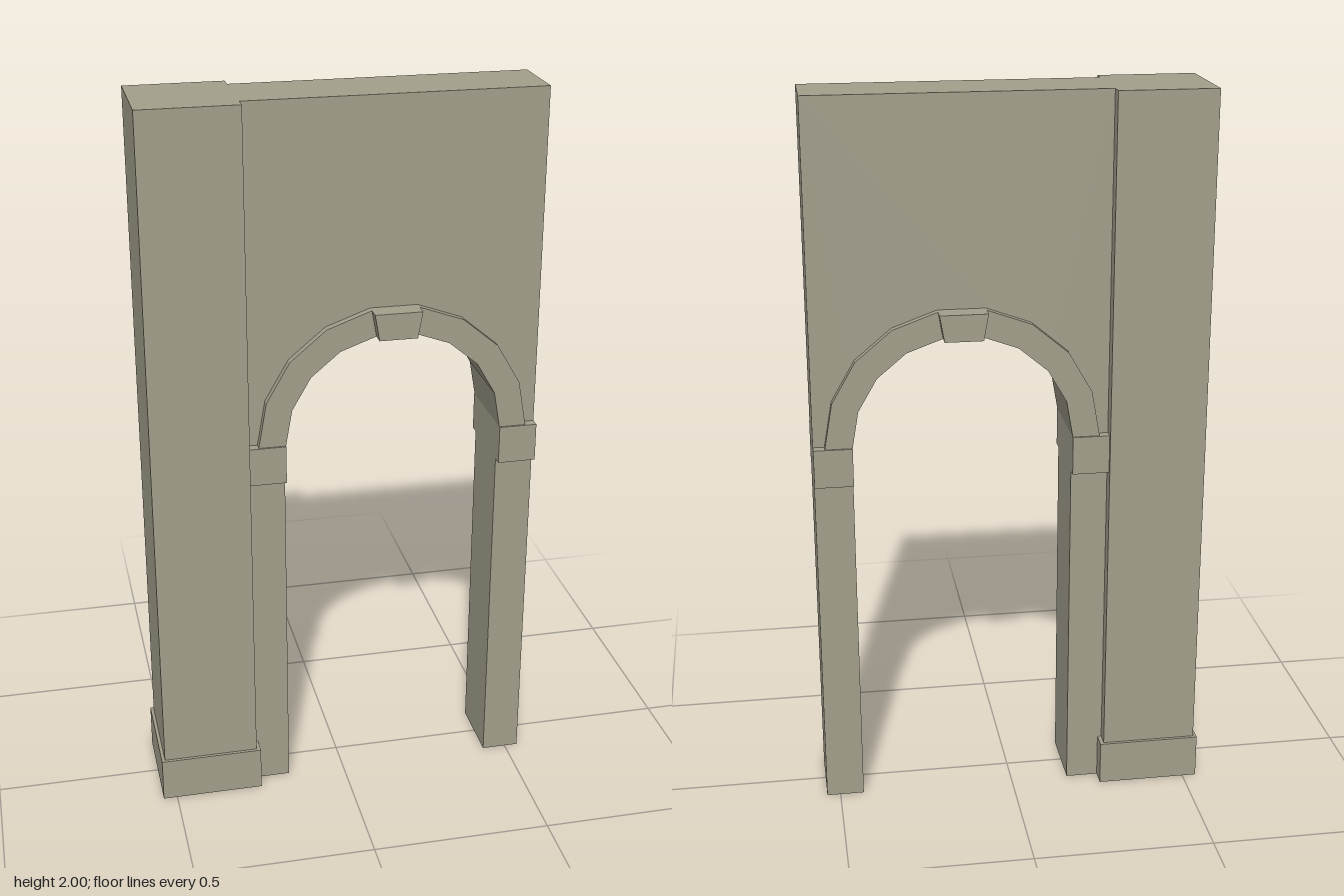
import * as THREE from 'three';

export function createModel() {
  const group = new THREE.Group();
  const stone = new THREE.MeshStandardMaterial({ color: 0xa39f8c });
  stone.name = 'stone';

  // Main dimensions
  const wallLeft = -0.264, wallRight = 0.538, wallZ = 0.097;
  const archX = 0.135, springY = 1.07, innerR = 0.298, outerR = 0.372;
  const segments = 9;

  const add = (name, geometry) => {
    const mesh = new THREE.Mesh(geometry, stone);
    mesh.name = name;
    group.add(mesh);
    return mesh;
  };
  const box = (name, x0, x1, y0, y1, z0, z1) =>
    add(name, new THREE.BoxGeometry(x1 - x0, y1 - y0, z1 - z0))
      .position.set((x0 + x1) / 2, (y0 + y1) / 2, (z0 + z1) / 2);
  const extrude = (name, points, z0, z1) =>
    add(name, new THREE.ExtrudeGeometry(new THREE.Shape(points),
      { depth: z1 - z0, bevelEnabled: false })).position.z = z0;

  // Points on the faceted arch, from step a to step b, counted from the +x side
  const arc = (radius, a, b) => {
    const points = [];
    for (let i = a; i <= b; i++) {
      const t = (i / segments) * Math.PI;
      points.push(new THREE.Vector2(archX + radius * Math.cos(t), springY + radius * Math.sin(t)));
    }
    return points;
  };
  const ring = (a, b) => [...arc(outerR, a, b), ...arc(innerR, a, b).reverse()];

  // Wall with the arched opening
  const v = (x, y) => new THREE.Vector2(x, y);
  extrude('archedWall', [
    v(wallRight, 0), v(wallRight, 2), v(wallLeft, 2), v(wallLeft, 0),
    v(archX - innerR, 0), ...arc(innerR, 0, segments).reverse(), v(archX + innerR, 0),
  ], -wallZ, wallZ);

  // Pillar and its plinth
  box('pillar', -0.53, wallLeft, 0, 2, -0.135, 0.135);
  box('pillarBase', -0.539, -0.253, 0, 0.125, -0.144, 0.144);

  // Raised trim on both faces
  for (const [side, s] of [['front', 1], ['back', -1]]) {
    const span = (depth) => (s > 0 ? [wallZ, depth] : [-depth, -wallZ]);
    extrude(side + 'ArchTrimLeft', ring(0, 4), ...span(0.119));
    extrude(side + 'ArchTrimRight', ring(5, segments), ...span(0.119));
    extrude(side + 'Keystone', ring(4, 5), ...span(0.155));
    box(side + 'ImpostRight', wallLeft, archX - innerR, 0.963, springY, ...span(0.124));
    box(side + 'ImpostLeft', archX + innerR, wallRight, 0.963, springY, ...span(0.124));
  }

  return group;
}
